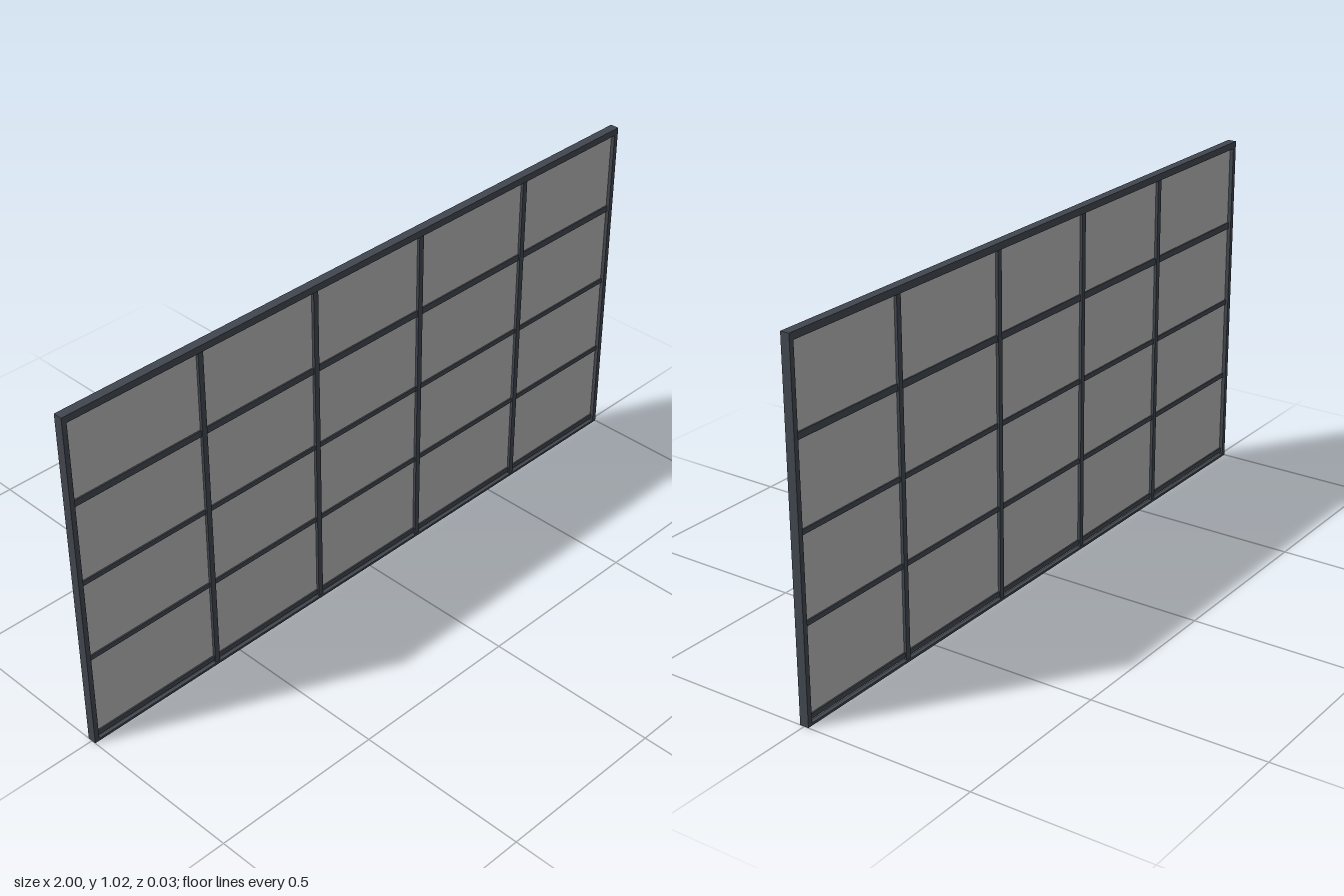
import * as THREE from 'three';

export function createModel() {
  const model = new THREE.Group();
  const metal = new THREE.MeshStandardMaterial({ color: 0x41464e });
  metal.name = 'dark grey metal';
  const glass = new THREE.MeshStandardMaterial({ color: 0xb6b6b6 });
  glass.name = 'pale grey glass';

  const W = 2, H = 1.016, D = 0.026;
  const jamb = 0.014, head = 0.02, sill = 0.007;

  function bar(name, w, h, d, x, y, material = metal) {
    const mesh = new THREE.Mesh(new THREE.BoxGeometry(w, h, d), material);
    mesh.name = name;
    mesh.position.set(x, y, 0);
    model.add(mesh);
  }

  // Outer frame
  for (const s of [-1, 1]) {
    bar(s > 0 ? 'leftJamb' : 'rightJamb', jamb, H, D, s * (W - jamb) / 2, H / 2);
  }
  bar('headRail', W - 2 * jamb, head, D, 0, H - head / 2);
  bar('sill', W - 2 * jamb, sill, D, 0, sill / 2);

  // Upright mullions
  for (const x of [-0.577, -0.192, 0.194, 0.605]) {
    bar('mullion', 0.016, H - head - sill, 0.02, x, (H - head + sill) / 2);
  }

  // Horizontal glazing bars: height above the floor and thickness
  for (const [y, h] of [[0.02, 0.014], [0.273, 0.014], [0.513, 0.014], [0.757, 0.019]]) {
    bar('glazingBar', W - 2 * jamb, h, 0.012, 0, y);
  }

  // Thin glazing behind the bars
  bar('glassPane', W - 2 * jamb, H - head - sill, 0.004, 0, (H - head + sill) / 2, glass);

  return model;
}
